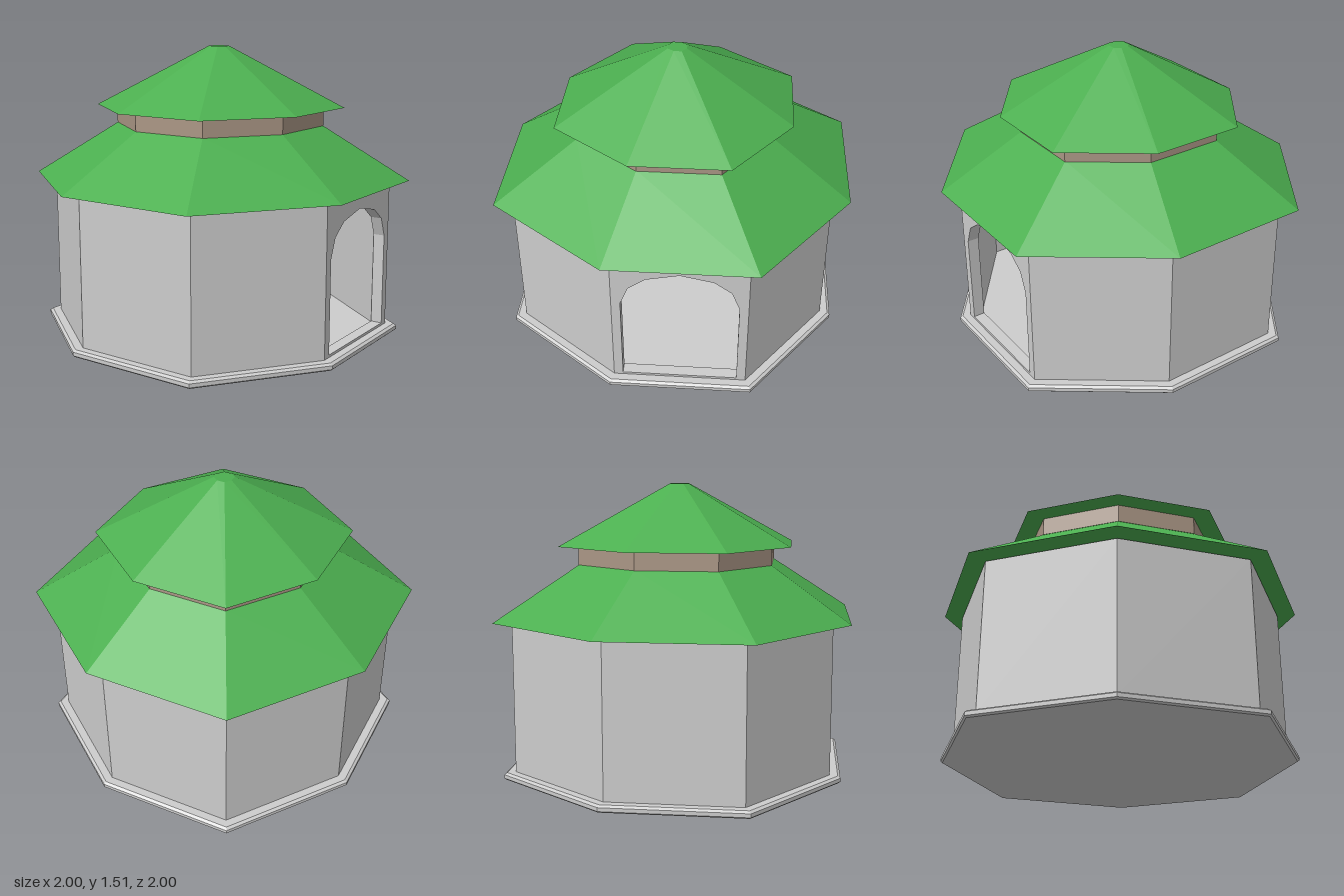
import * as THREE from 'three';

const DIAGONAL = (2 / 3) * Math.SQRT2; // diagonal corners sit slightly inside a true octagon
const stone = new THREE.MeshStandardMaterial({ color: 0xcccccc });
stone.name = 'pale stone';
const green = new THREE.MeshStandardMaterial({ color: 0x4caf50 });
green.name = 'roof green';
const brown = new THREE.MeshStandardMaterial({ color: 0xaa9685 });
brown.name = 'drum brown';

// Eight-sided faceted solid from a [radius, height] profile, bottom to top
function octagonSolid(name, profile, material) {
  const lathe = new THREE.LatheGeometry(profile.map(([r, y]) => new THREE.Vector2(r, y)), 8);
  const geometry = lathe.toNonIndexed();
  const p = geometry.attributes.position;
  for (let i = 0; i < p.count; i++) {
    const x = p.getX(i), z = p.getZ(i);
    if (Math.abs(x) > 1e-4 && Math.abs(z) > 1e-4) {
      p.setX(i, x * DIAGONAL);
      p.setZ(i, z * DIAGONAL);
    }
  }
  geometry.computeVertexNormals();
  const mesh = new THREE.Mesh(geometry, material);
  mesh.name = name;
  return mesh;
}

const WALL = { radius: 0.9, bottom: 0.035, top: 0.808, thickness: 0.06 };

function wallCorner(i) {
  const a = (i * Math.PI) / 4;
  const r = WALL.radius * (i % 2 ? DIAGONAL : 1);
  return new THREE.Vector3(Math.cos(a) * r, 0, Math.sin(a) * r);
}

// Pointed arch opening, centred on u
function archHole(u) {
  const half = [[0.29, 0.05], [0.29, 0.53], [0.25, 0.63], [0.165, 0.692]];
  const points = [
    ...half.map(([x, y]) => new THREE.Vector2(u + x, y)),
    new THREE.Vector2(u, 0.727),
    ...half.slice().reverse().map(([x, y]) => new THREE.Vector2(u - x, y)),
  ];
  return new THREE.Path(points);
}

// One wall panel, mitred at its ends so neighbours meet on the inside
function wallPanel(i, hasDoor) {
  const a = wallCorner(i + 1), b = wallCorner(i);
  const along = b.clone().sub(a).normalize();
  const up = new THREE.Vector3(0, 1, 0);
  const out = along.clone().cross(up);
  const distance = a.dot(out);
  const u0 = a.dot(along), u1 = b.dot(along);

  const shape = new THREE.Shape([
    new THREE.Vector2(u0, WALL.bottom), new THREE.Vector2(u1, WALL.bottom),
    new THREE.Vector2(u1, WALL.top), new THREE.Vector2(u0, WALL.top),
  ]);
  if (hasDoor) shape.holes.push(archHole((u0 + u1) / 2));

  const geometry = new THREE.ExtrudeGeometry(shape, { depth: WALL.thickness, bevelEnabled: false });
  geometry.translate(0, 0, -WALL.thickness);
  const p = geometry.attributes.position;
  const shrink = (distance - WALL.thickness) / distance;
  for (let k = 0; k < p.count; k++) {
    const u = p.getX(k);
    const atEnd = Math.abs(u - u0) < 1e-4 || Math.abs(u - u1) < 1e-4;
    if (atEnd && p.getZ(k) < -1e-4) p.setX(k, u * shrink);
  }
  geometry.computeVertexNormals();
  geometry.applyMatrix4(new THREE.Matrix4().makeBasis(along, up, out).setPosition(out.clone().multiplyScalar(distance)));

  const mesh = new THREE.Mesh(geometry, stone);
  mesh.name = hasDoor ? 'doorwayWall' : 'wallPanel';
  return mesh;
}

export function createModel() {
  const model = new THREE.Group();
  model.name = 'pavilion';

  // Bevelled plinth, also the floor
  model.add(octagonSolid('plinth', [[0, 0], [0.95, 0], [0.96, 0.008], [0.96, 0.027], [0.945, 0.037], [0, 0.037]], stone));

  // Hollow ring of walls with one arched doorway
  const walls = new THREE.Group();
  walls.name = 'walls';
  for (let i = 0; i < 8; i++) walls.add(wallPanel(i, i === 0));
  model.add(walls);

  // Two-tier roof with a drum between
  model.add(octagonSolid('lowerRoof', [[0, 0.818], [1, 0.818], [0.545, 1.1], [0, 1.1]], green));
  model.add(octagonSolid('drum', [[0.55, 1.098], [0.55, 1.195]], brown));
  model.add(octagonSolid('upperRoof', [[0, 1.193], [0.657, 1.193], [0.053, 1.508], [0, 1.508]], green));
  return model;
}
